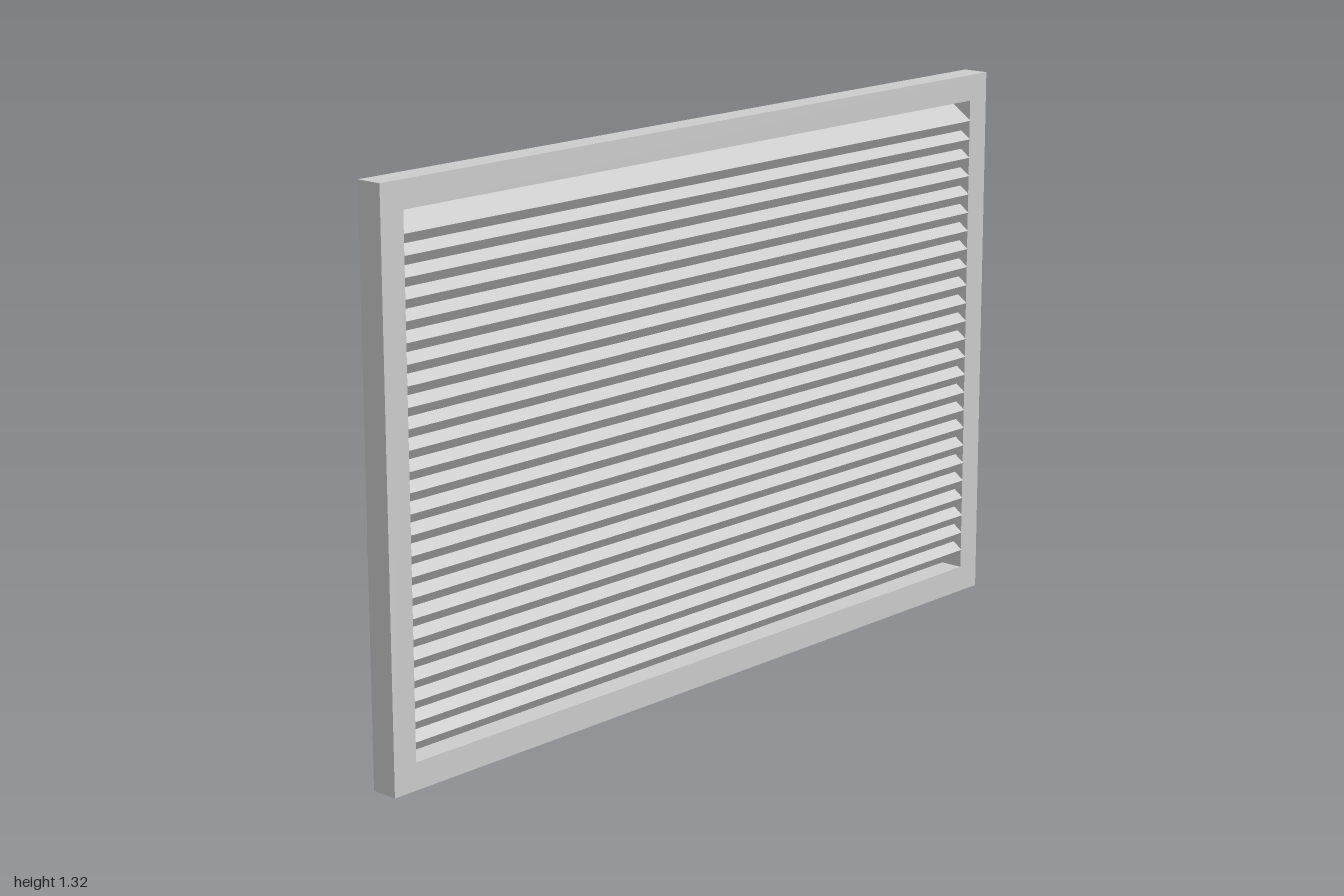
import * as THREE from 'three';

export function createModel() {
  const model = new THREE.Group();
  const material = new THREE.MeshStandardMaterial({ color: 0xcccccc, flatShading: true });
  const width = 2, height = 1.315, border = 0.063, depth = 0.065;

  // Rectangular frame with one opening
  const outline = new THREE.Shape();
  outline.moveTo(-width / 2, 0).lineTo(width / 2, 0).lineTo(width / 2, height).lineTo(-width / 2, height).closePath();
  const ix = width / 2 - border;
  const opening = new THREE.Path();
  opening.moveTo(-ix, border).lineTo(-ix, height - border).lineTo(ix, height - border).lineTo(ix, border).closePath();
  outline.holes.push(opening);
  const frameGeometry = new THREE.ExtrudeGeometry(outline, { depth, bevelEnabled: false });
  frameGeometry.translate(0, 0, -depth / 2);
  const frame = new THREE.Mesh(frameGeometry, material);
  frame.name = 'frame';
  model.add(frame);

  // Louvre slats, sloping down towards the front
  const slats = new THREE.Group();
  slats.name = 'slats';
  const count = 25, bottom = 0.115, top = 1.209;
  const slatGeometry = new THREE.BoxGeometry(2 * ix, 0.029, 0.064);
  for (let i = 0; i < count; i++) {
    const slat = new THREE.Mesh(slatGeometry, material);
    slat.name = `slat${i + 1}`;
    slat.position.y = bottom + ((top - bottom) * i) / (count - 1);
    slat.rotation.x = THREE.MathUtils.degToRad(35);
    slats.add(slat);
  }
  model.add(slats);
  return model;
}
